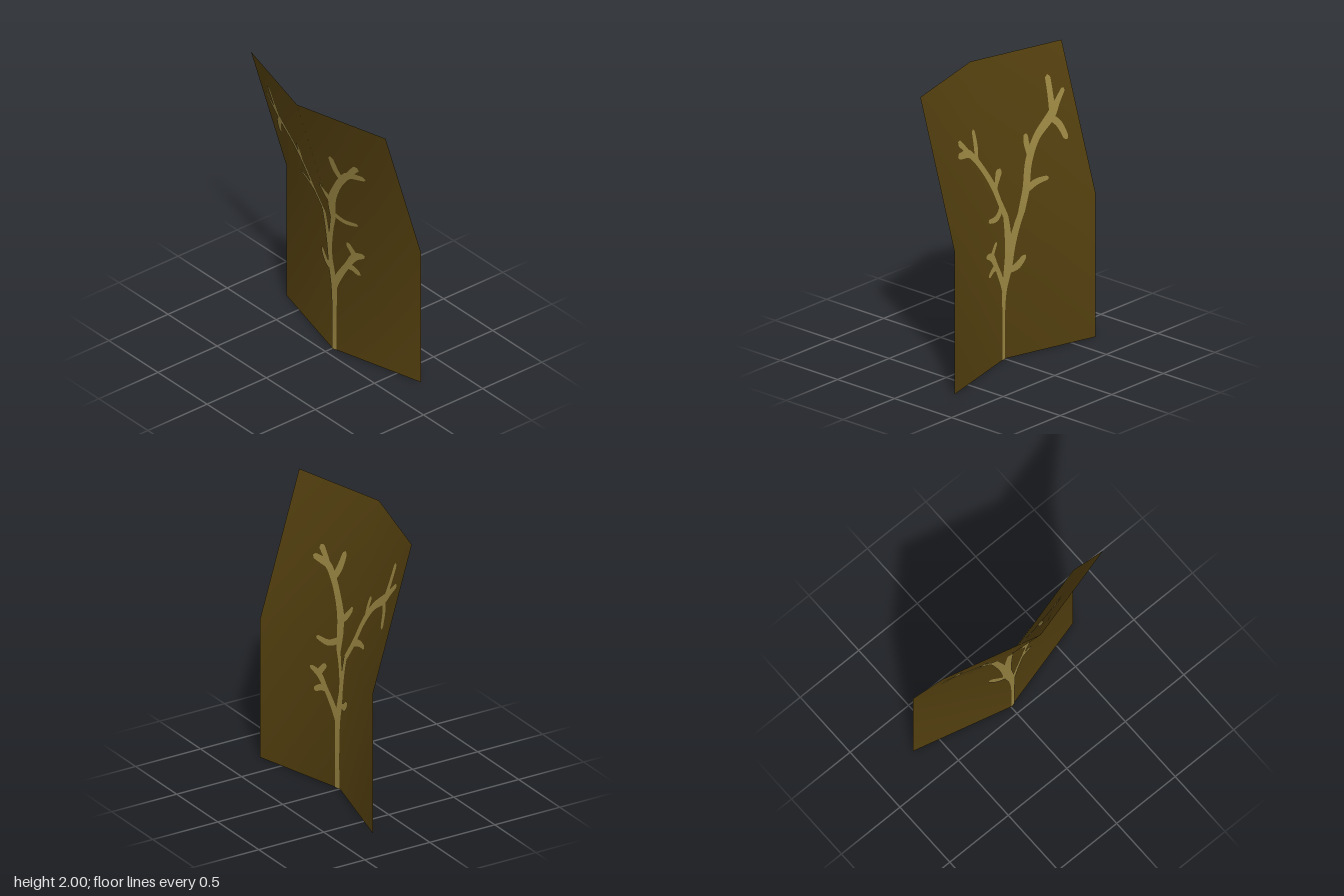
import * as THREE from 'three';
import { mergeGeometries } from 'three/addons/utils/BufferGeometryUtils.js';

const HALF = 0.685; // half depth of the sheet

// Wrap a flat (across, up) drawing onto the folded sheet, with soft normals over the folds.
function fold(geo, offset = 0) {
  const p = geo.attributes.position, n = geo.attributes.normal;
  const normal = new THREE.Vector3();
  for (let i = 0; i < p.count; i++) {
    const z = -p.getX(i), y = p.getY(i);
    const x = 0.06 + 0.18 * Math.abs(z) / HALF - 0.3 * Math.max(0, y - 1);
    p.setXYZ(i, x + offset, y, z);
    normal.set(1, 0.15 * y, -0.263 * z / HALF).normalize();
    n.setXYZ(i, normal.x, normal.y, normal.z);
  }
  return geo;
}

// Tapered, round-tipped stroke through points [across, up, half width].
function stroke(points) {
  const curve = new THREE.CatmullRomCurve3(points.map((q) => new THREE.Vector3(...q)));
  const length = curve.getLength();
  const geo = new THREE.PlaneGeometry(1, 1, 6, Math.max(12, Math.ceil(length / 0.012)));
  const p = geo.attributes.position;
  for (let i = 0; i < p.count; i++) {
    const u = p.getX(i), v = Math.min(1, Math.max(0, p.getY(i) + 0.5));
    const c = curve.getPointAt(v), t = curve.getTangentAt(v);
    const l = Math.hypot(t.x, t.y);
    const tip = Math.sqrt(Math.min(1, (1 - v) * length / c.z));
    const w = 2 * u * c.z * tip;
    p.setXYZ(i, c.x + w * t.y / l, c.y - w * t.x / l, 0);
  }
  return geo;
}

const STROKES = {
  trunk: [[-0.018, 0, 0.018], [-0.018, 0.3, 0.018], [-0.012, 0.48, 0.026], [0.02, 0.64, 0.034], [0.04, 0.78, 0.028]],
  leftLimb: [[0.022, 0.62, 0.03], [0.025, 0.8, 0.026], [0.005, 0.97, 0.024], [-0.03, 1.11, 0.026], [-0.06, 1.21, 0.028],
    [-0.12, 1.32, 0.024], [-0.19, 1.42, 0.024], [-0.26, 1.49, 0.025], [-0.32, 1.505, 0.024], [-0.4, 1.515, 0.018]],
  leftLimbTwigs: [
    [[-0.26, 1.49, 0.02], [-0.31, 1.55, 0.02], [-0.36, 1.6, 0.024]],
    [[-0.195, 1.41, 0.02], [-0.165, 1.5, 0.024], [-0.152, 1.615, 0.018]],
    [[-0.055, 1.17, 0.02], [-0.015, 1.22, 0.021], [0.04, 1.3, 0.02]],
    [[-0.02, 1.06, 0.022], [-0.1, 1.02, 0.02], [-0.21, 1.03, 0.012]],
  ],
  rightLimb: [[0.02, 0.62, 0.032], [0.055, 0.8, 0.028], [0.115, 0.98, 0.024], [0.19, 1.13, 0.025], [0.255, 1.3, 0.025],
    [0.35, 1.44, 0.025], [0.49, 1.555, 0.03], [0.555, 1.63, 0.02], [0.622, 1.705, 0.014]],
  rightLimbTwigs: [
    [[0.5, 1.55, 0.024], [0.515, 1.68, 0.021], [0.525, 1.81, 0.02]],
    [[0.47, 1.55, 0.022], [0.53, 1.49, 0.024], [0.565, 1.38, 0.019]],
    [[0.275, 1.34, 0.023], [0.268, 1.42, 0.02], [0.277, 1.48, 0.016]],
    [[0.19, 1.13, 0.022], [0.28, 1.165, 0.02], [0.375, 1.175, 0.013]],
    [[0.02, 0.61, 0.018], [0.09, 0.63, 0.026], [0.155, 0.695, 0.018]],
  ],
  lowBranch: [[-0.01, 0.47, 0.022], [-0.05, 0.57, 0.024], [-0.12, 0.69, 0.021], [-0.18, 0.775, 0.026], [-0.255, 0.805, 0.015]],
  lowBranchTwigs: [
    [[-0.185, 0.77, 0.022], [-0.155, 0.81, 0.02], [-0.115, 0.862, 0.016]],
    [[-0.11, 0.68, 0.02], [-0.16, 0.68, 0.021], [-0.22, 0.645, 0.016]],
  ],
};

export function createModel() {
  const model = new THREE.Group();
  const sheetMaterial = new THREE.MeshStandardMaterial({ name: 'dark olive brown', color: 0x54400f, side: THREE.DoubleSide });
  const branchMaterial = new THREE.MeshStandardMaterial({ name: 'pale olive', color: 0x9a8642, side: THREE.DoubleSide });

  // Folded backing sheet: four flat panels
  const sheet = new THREE.Mesh(fold(new THREE.PlaneGeometry(2 * HALF, 2, 2, 2).translate(0, 1, 0)), sheetMaterial);
  sheet.name = 'foldedSheet';
  model.add(sheet);

  // Painted branches, on both faces of the sheet
  for (const [side, offset] of [['inner', 0.004], ['outer', -0.004]]) {
    const branches = new THREE.Group();
    branches.name = side + 'Branches';
    for (const [name, shape] of Object.entries(STROKES)) {
      const list = Array.isArray(shape[0][0]) ? shape : [shape];
      const mesh = new THREE.Mesh(fold(mergeGeometries(list.map(stroke)), offset), branchMaterial);
      mesh.name = name;
      branches.add(mesh);
    }
    model.add(branches);
  }
  return model;
}
